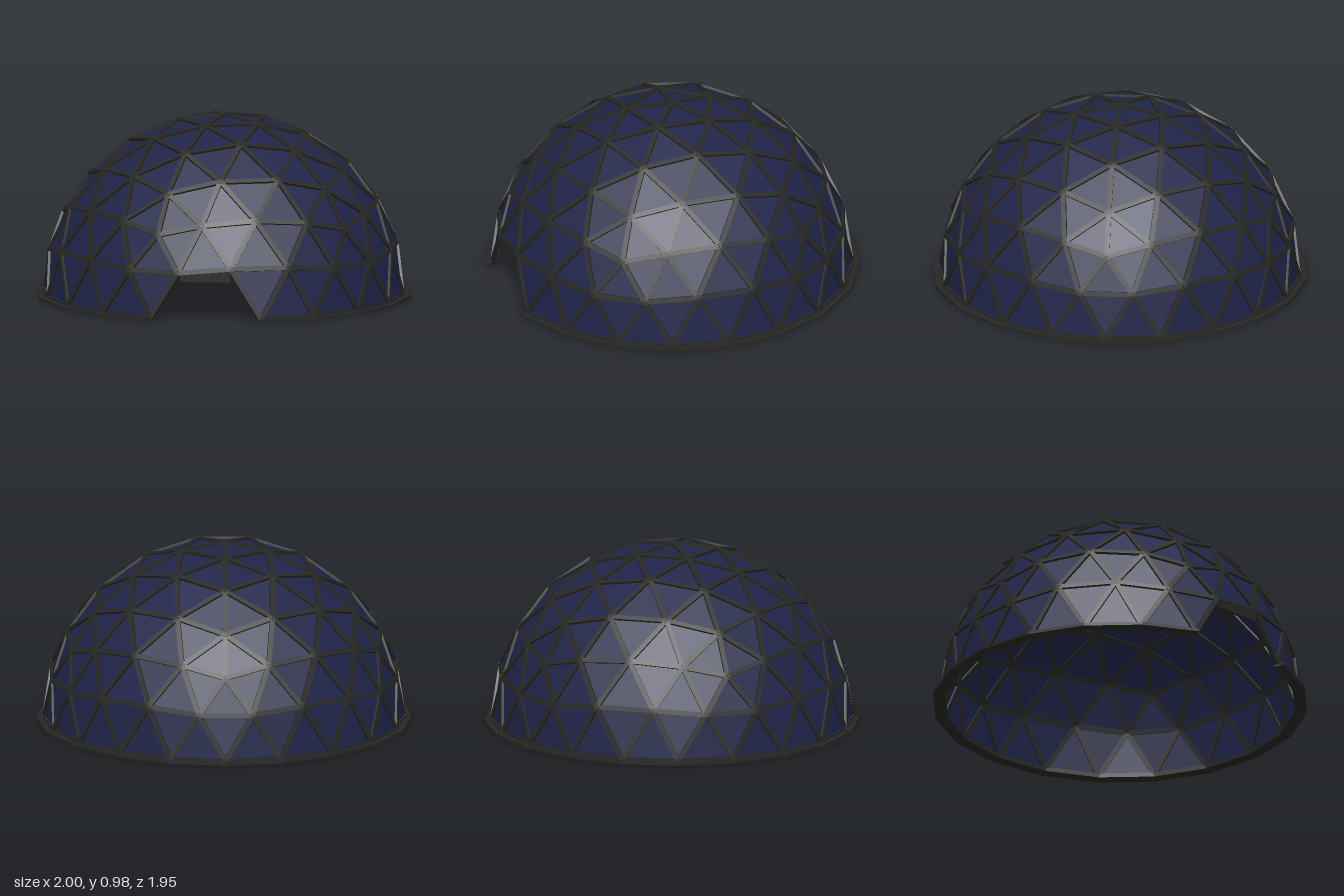
import * as THREE from 'three';
import { mergeGeometries } from 'three/addons/utils/BufferGeometryUtils.js';

const R = 0.955, FREQ = 4;
const CENTRE = new THREE.Vector3(0, 0.015, 0.025);
const STRUT_W = 0.026, STRUT_T = 0.024;

// Icosahedron standing on a vertex: cap and middle band only
function baseFaces() {
  const at = (deg, y) => {
    const a = THREE.MathUtils.degToRad(deg), r = Math.sqrt(1 - y * y);
    return new THREE.Vector3(r * Math.cos(a), y, r * Math.sin(a));
  };
  const h = 1 / Math.sqrt(5), top = new THREE.Vector3(0, 1, 0), faces = [];
  for (let k = 0; k < 5; k++) {
    const a = 180 + 72 * k;
    const u0 = at(a, h), u1 = at(a + 72, h), l0 = at(a + 36, -h), l1 = at(a + 108, -h);
    faces.push([top, u1, u0], [u0, u1, l0], [u1, l1, l0]);
  }
  return faces;
}

// Split a face into small triangles on the unit sphere
function subdivide([a, b, c]) {
  const point = (i, j) => new THREE.Vector3()
    .addScaledVector(a, FREQ - i - j).addScaledVector(b, i).addScaledVector(c, j).normalize();
  const tris = [];
  for (let i = 0; i < FREQ; i++) {
    for (let j = 0; j < FREQ - i; j++) {
      tris.push([point(i, j), point(i + 1, j), point(i, j + 1)]);
      if (i + j < FREQ - 1) tris.push([point(i + 1, j), point(i + 1, j + 1), point(i, j + 1)]);
    }
  }
  return tris;
}

// Keep the upper half, leaving out the three triangles of the doorway
function isKept(tri) {
  const m = tri[0].clone().add(tri[1]).add(tri[2]).divideScalar(3);
  const door = m.z > 0 && m.y < 0.25 && Math.abs(m.x) < 0.22;
  return m.y > 0.01 && !door;
}

// Flat bar between two points, its face turned outwards
function strut(p, q) {
  const dir = q.clone().sub(p), length = dir.length();
  const mid = p.clone().add(q).multiplyScalar(0.5);
  const yAxis = dir.normalize();
  const zAxis = mid.clone().sub(CENTRE).normalize();
  const xAxis = yAxis.clone().cross(zAxis).normalize();
  const m = new THREE.Matrix4().makeBasis(xAxis, yAxis, zAxis).setPosition(mid);
  return new THREE.BoxGeometry(STRUT_W, length + 0.006, STRUT_T).applyMatrix4(m);
}

export function createModel() {
  const group = new THREE.Group();
  const fabric = new THREE.MeshStandardMaterial({ color: 0x1f2348, flatShading: true, side: THREE.DoubleSide });
  const metal = new THREE.MeshStandardMaterial({ color: 0x262625, flatShading: true });
  const add = (name, geometry, material) => {
    const mesh = new THREE.Mesh(geometry, material);
    mesh.name = name;
    group.add(mesh);
    return mesh;
  };

  const tris = baseFaces().flatMap(subdivide).filter(isKept)
    .map(t => t.map(p => p.multiplyScalar(R).add(CENTRE)));

  // Triangular panels
  const panels = new THREE.BufferGeometry().setFromPoints(tris.flat());
  panels.computeVertexNormals();
  add('panels', panels, fabric);

  // One strut for each edge
  const key = p => [p.x, p.y, p.z].map(v => Math.round(v * 1000)).join();
  const edges = new Map();
  for (const t of tris) {
    t.forEach((p, i) => {
      const q = t[(i + 1) % 3];
      edges.set([key(p), key(q)].sort().join('|'), [p, q]);
    });
  }
  add('struts', mergeGeometries([...edges.values()].map(([p, q]) => strut(p, q))), metal);

  // Twenty-sided ground ring, open at the doorway
  const ring = new THREE.Shape();
  const ringPoint = (r, i) => {
    const a = THREE.MathUtils.degToRad(-72 + 18 * i);
    return new THREE.Vector2(r * Math.cos(a), r * Math.sin(a));
  };
  const outer = [], inner = [];
  for (let i = 0; i <= 18; i++) {
    outer.push(ringPoint(1, i));
    inner.unshift(ringPoint(0.935, i));
  }
  ring.setFromPoints([...outer, ...inner]);
  const ringGeometry = new THREE.ExtrudeGeometry(ring, { depth: 0.017, bevelEnabled: false });
  ringGeometry.rotateX(-Math.PI / 2);
  add('groundRing', ringGeometry, metal).position.z = CENTRE.z;

  // Header board hanging from the strut above the doorway
  const corners = tris.flat()
    .filter(p => p.z > 0.5 && Math.abs(p.x) < 0.22 && p.y > 0.15 && p.y < 0.37)
    .sort((p, q) => p.x - q.x);
  const left = corners[0], right = corners[corners.length - 1];
  const board = new THREE.Shape([
    new THREE.Vector2(left.x, left.y), new THREE.Vector2(left.x + 0.02, 0.21),
    new THREE.Vector2(right.x, 0.21), new THREE.Vector2(right.x, right.y),
  ]);
  const boardGeometry = new THREE.ExtrudeGeometry(board, { depth: 0.02, bevelEnabled: false });
  add('doorHeader', boardGeometry, metal).position.z = (left.z + right.z) / 2 - 0.01;

  return group;
}
